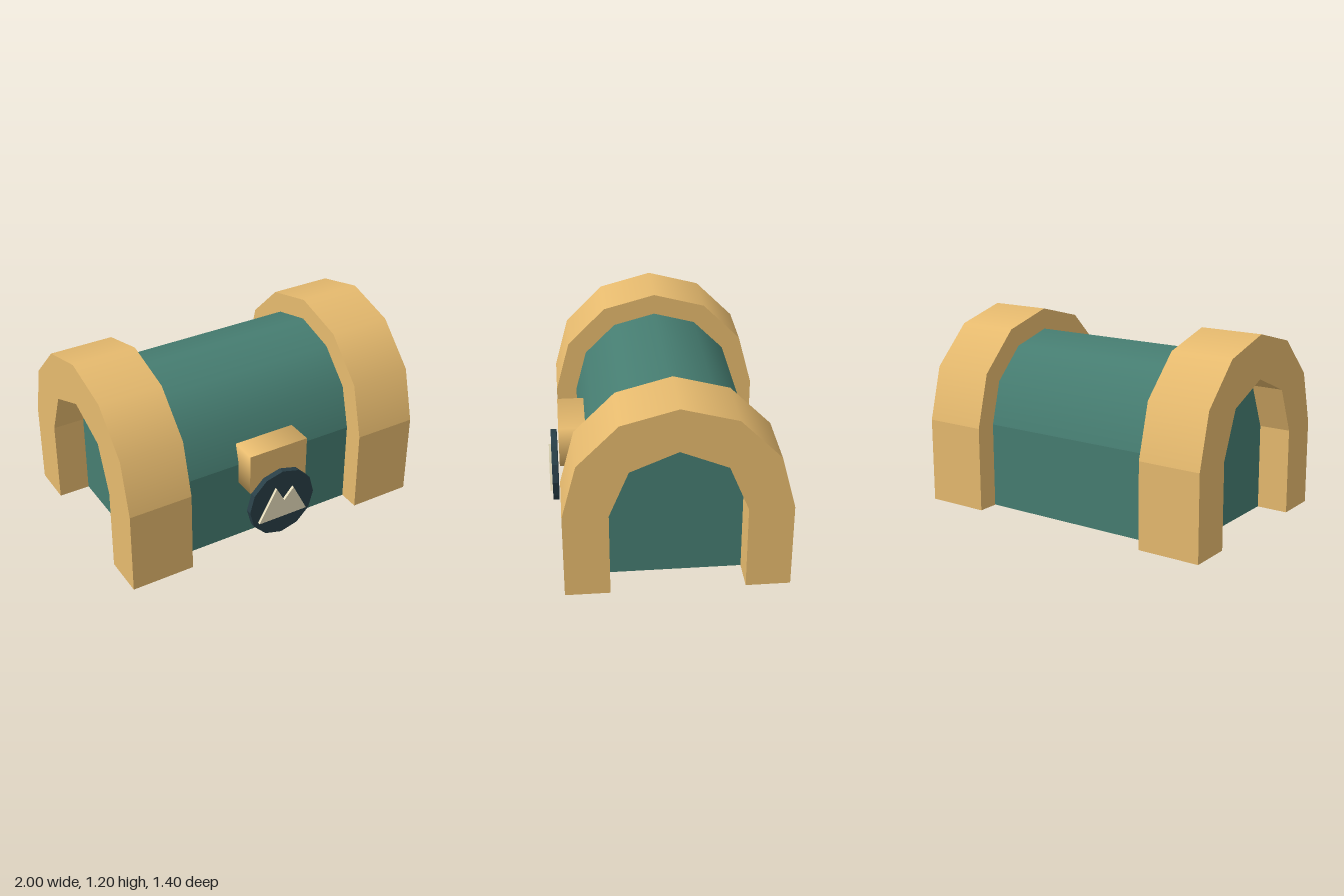
import * as THREE from 'three';
import { toCreasedNormals } from 'three/addons/utils/BufferGeometryUtils.js';

const U = 2 / 15; // building unit
const SPRING = 4 * U; // height where the straight walls meet the round top
const CENTRE_Z = -U / 4;

function flat(name, color) {
  const m = new THREE.MeshStandardMaterial({ color });
  m.name = name;
  return m;
}

function add(parent, name, geometry, material, x = 0, y = 0, z = 0) {
  const mesh = new THREE.Mesh(geometry, material);
  mesh.name = name;
  mesh.position.set(x, y, z);
  parent.add(mesh);
  return mesh;
}

// points of a half circle, from one side over the top to the other
function halfCircle(radius, segments) {
  return Array.from({ length: segments + 1 }, (_, i) => {
    const a = (i / segments) * Math.PI;
    return new THREE.Vector2(radius * Math.cos(a), radius * Math.sin(a));
  });
}

// extrude a profile along x, centred, with the round outside shaded smoothly
function vault(points, width) {
  const g = new THREE.ExtrudeGeometry(new THREE.Shape(points), { depth: width, bevelEnabled: false });
  g.translate(0, 0, -width / 2).rotateY(Math.PI / 2);
  const p = g.attributes.position;
  const n = g.attributes.normal;
  for (let i = 0; i < p.count; i++) {
    const y = p.getY(i);
    const z = p.getZ(i);
    const outward = n.getY(i) * y + n.getZ(i) * z > 0.01;
    if (Math.abs(n.getX(i)) < 0.5 && outward && y > 0.001) {
      const r = Math.hypot(y, z);
      n.setXYZ(i, 0, y / r, z / r);
    }
  }
  return g;
}

export function createModel() {
  const model = new THREE.Group();
  model.name = 'vaultedBarrel';
  const tan = flat('tan', 0xe6ba6e);
  const teal = flat('teal', 0x467d71);
  const navy = flat('darkSlate', 0x293f47);
  const cream = flat('cream', 0xe8dfbe);

  // body and the narrower core that closes the arches: walls, round roof, underside
  const body = new THREE.Group();
  body.name = 'body';
  body.position.z = CENTRE_Z;
  model.add(body);
  for (const [part, radius, segments, length] of [['body', 4 * U, 6, 1.2], ['core', 3 * U, 4, 1.6]]) {
    add(body, part + 'Roof', vault(halfCircle(radius, segments), length), teal, 0, SPRING);
    add(body, part + 'Walls', new THREE.BoxGeometry(length, SPRING - 0.001, 2 * radius), teal,
      0, (SPRING + 0.001) / 2);
    add(body, part + 'Underside', new THREE.PlaneGeometry(length, 2 * radius).rotateX(Math.PI / 2), tan);
  }

  // arches at both ends: round band on two legs
  for (const [side, sign] of [['left', 1], ['right', -1]]) {
    const arch = new THREE.Group();
    arch.name = side + 'Arch';
    arch.position.set(sign * 0.8, 0, CENTRE_Z);
    model.add(arch);
    const band = [...halfCircle(5 * U, 6), ...halfCircle(3 * U, 4).reverse()];
    add(arch, 'archBand', vault(band, 0.4), tan, 0, SPRING);
    for (const s of [1, -1]) {
      add(arch, s > 0 ? 'frontLeg' : 'backLeg', new THREE.BoxGeometry(0.4, SPRING, 2 * U), tan,
        0, SPRING / 2, s * 4 * U);
    }
  }

  // latch block on the front: a four-sided prism with softly shaded sides
  const latch = new THREE.CylinderGeometry(Math.SQRT1_2, Math.SQRT1_2, 1, 4)
    .rotateY(Math.PI / 4).rotateX(Math.PI / 2).scale(0.4, 2 * U, 0.2);
  add(model, 'latch', latch, tan, 0, SPRING, 0.533);

  // twelve-sided medallion in front of the latch
  const disc = new THREE.CylinderGeometry(0.228, 0.228, 0.038, 12).rotateX(Math.PI / 2);
  add(model, 'medallion', toCreasedNormals(disc, 0.1), navy, 0, 0.295, 0.664);

  // twin-peak relief on the medallion
  const peaks = new THREE.Shape([
    [-0.17, 0.2], [0.168, 0.2], [0.07, 0.392], [0.005, 0.318], [-0.05, 0.42],
  ].map(([x, y]) => new THREE.Vector2(x, y)));
  add(model, 'peakRelief', new THREE.ExtrudeGeometry(peaks, { depth: 0.02, bevelEnabled: false }), cream, 0, 0, 0.68);

  return model;
}
